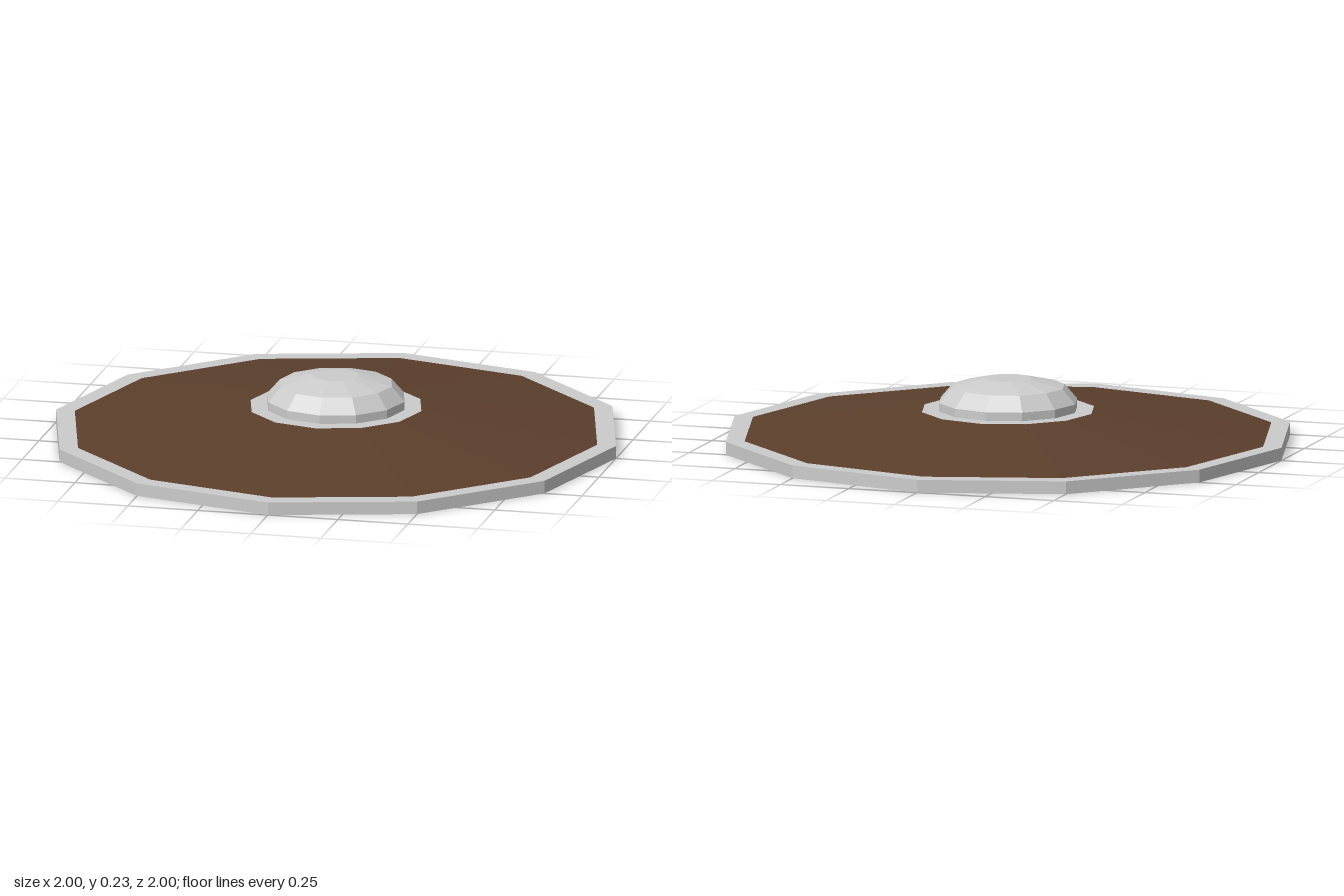
import * as THREE from 'three';

const SIDES = 12;

// Revolve a profile of [radius, height] pairs, listed counterclockwise
function turned(name, profile, material) {
  const points = profile.map(([r, y]) => new THREE.Vector2(r, y));
  const mesh = new THREE.Mesh(new THREE.LatheGeometry(points, SIDES), material);
  mesh.name = name;
  return mesh;
}

export function createModel() {
  const metal = new THREE.MeshStandardMaterial({ color: 0xcccccc, flatShading: true });
  const wood = new THREE.MeshStandardMaterial({ color: 0x5c3f2c, flatShading: true });
  const group = new THREE.Group();
  group.name = 'roundShield';

  // Flat wooden back
  group.add(turned('backBoard', [[0, 0], [1, 0]], wood));
  // Metal band around the edge
  group.add(turned('rim', [[1, 0], [1, 0.045], [0.933, 0.045]], metal));
  // Shallow wooden cone
  group.add(turned('woodenFace', [[0.933, 0.045], [0.305, 0.125]], wood));
  // Flat metal collar around the boss
  group.add(turned('bossCollar', [[0.305, 0.125], [0.245, 0.125]], metal));
  // Raised faceted boss
  group.add(turned('boss', [[0.245, 0.125], [0.245, 0.155], [0.2, 0.207], [0.083, 0.235], [0, 0.235]], metal));

  return group;
}
